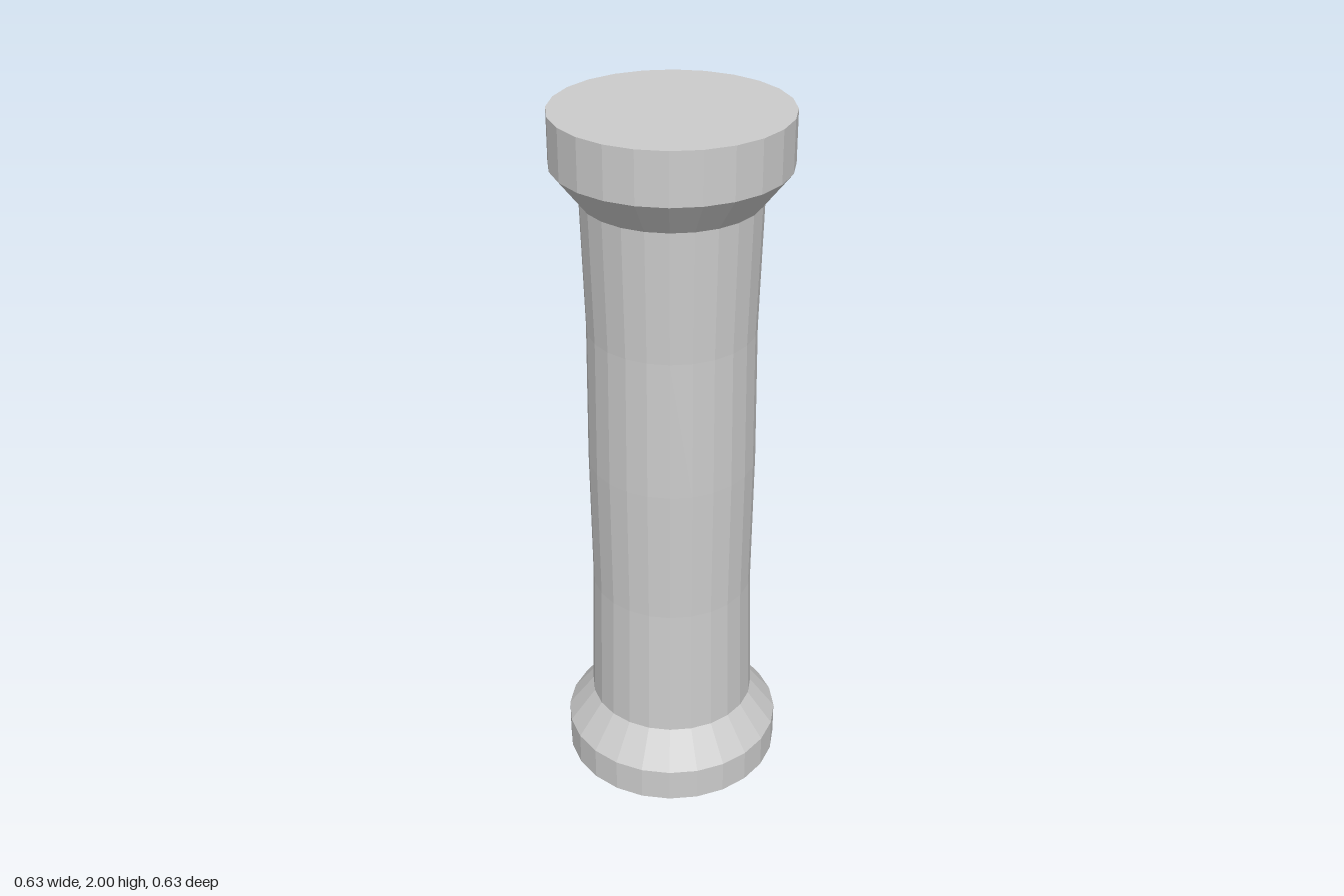
import * as THREE from 'three';

const SIDES = 24;
const material = new THREE.MeshStandardMaterial({ color: 0xcccccc, flatShading: true });

// Faceted turned part from [radius, height] pairs, listed bottom to top
function turned(name, profile) {
  const points = profile.map(([r, y]) => new THREE.Vector2(r, y));
  const mesh = new THREE.Mesh(new THREE.LatheGeometry(points, SIDES), material);
  mesh.name = name;
  return mesh;
}

export function createModel() {
  const group = new THREE.Group();
  group.name = 'column';

  // Base disc with a sloped shoulder
  group.add(turned('base', [[0, 0], [0.315, 0], [0.315, 0.1], [0.24, 0.2]]));

  // Shaft flared at both ends, swelling slightly at the middle
  group.add(turned('shaft', [[0.24, 0.2], [0.23, 0.6], [0.234, 1], [0.23, 1.4], [0.24, 1.765]]));

  // Capital flaring out to a flat top
  group.add(turned('capital', [[0.24, 1.765], [0.315, 1.86], [0.315, 2], [0, 2]]));

  return group;
}
